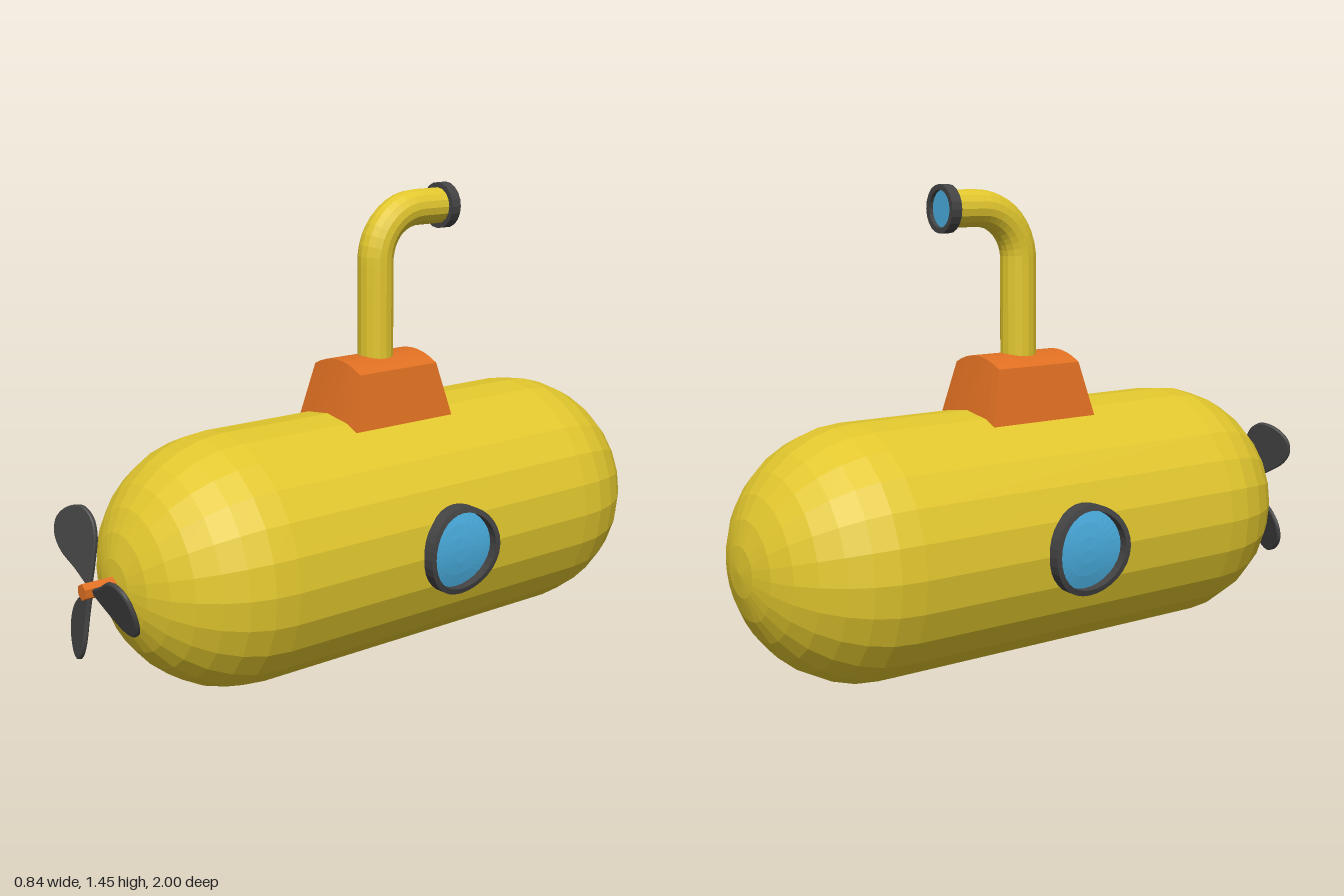
import * as THREE from 'three';

const R = 0.383;      // hull radius, also the height of its axis
const MID = -0.0475;  // hull centre along z

function material(name, color) {
  const m = new THREE.MeshStandardMaterial({ color, flatShading: true });
  m.name = name;
  return m;
}

export function createModel() {
  const yellow = material('yellow paint', 0xe2c72e);
  const orange = material('orange paint', 0xe07022);
  const dark = material('dark grey metal', 0x444444);
  const blue = material('blue glass', 0x4aaee0);

  const model = new THREE.Group();
  model.name = 'submarine';
  const add = (name, geometry, mat, parent = model) => {
    const mesh = new THREE.Mesh(geometry, mat);
    mesh.name = name;
    parent.add(mesh);
    return mesh;
  };
  const lathe = (pts, sides) =>
    new THREE.LatheGeometry(pts.map(([r, y]) => new THREE.Vector2(r, y)), sides);

  // Hull: a capsule lying along z
  const hull = new THREE.CapsuleGeometry(R, 1.139, 8, 24, 1);
  hull.rotateX(Math.PI / 2);
  add('hull', hull, yellow).position.set(0, R, MID);

  // Conning tower: tapered box, arched on top, underside following the hull
  const tower = new THREE.BoxGeometry(2, 1, 2, 8, 1, 1);
  const p = tower.attributes.position;
  for (let i = 0; i < p.count; i++) {
    const u = p.getX(i), w = p.getZ(i);
    if (p.getY(i) > 0) {
      p.setXYZ(i, u * 0.115, 0.93 - 0.03 * u * u, -0.045 + w * 0.15);
    } else {
      const x = u * 0.147;
      p.setXYZ(i, x, R + Math.sqrt(R * R - x * x) - 0.008, -0.045 + w * 0.19);
    }
  }
  tower.computeVertexNormals();
  add('conningTower', tower, orange);

  // Periscope: upright pipe bending towards the rear
  const scope = new THREE.Group();
  scope.name = 'periscope';
  model.add(scope);
  const v = (y, z) => new THREE.Vector3(0, y, z);
  const path = new THREE.CurvePath();
  path.add(new THREE.LineCurve3(v(0.9, -0.043), v(1.22, -0.043)));
  path.add(new THREE.CubicBezierCurve3(
    v(1.22, -0.043), v(1.305, -0.043), v(1.374, -0.112), v(1.374, -0.197)));
  path.add(new THREE.LineCurve3(v(1.374, -0.197), v(1.374, -0.3)));
  add('periscopePipe', new THREE.TubeGeometry(path, 26, 0.056, 16), yellow, scope);

  const rim = lathe([[0.04, 0], [0.072, 0], [0.072, 0.034], [0.056, 0.034], [0.056, 0.018]], 20);
  rim.rotateX(-Math.PI / 2);
  add('periscopeRim', rim, dark, scope).position.set(0, 1.374, -0.292);
  const lens = new THREE.CircleGeometry(0.058, 20);
  lens.rotateY(Math.PI);
  add('periscopeLens', lens, blue, scope).position.set(0, 1.374, -0.313);

  // Portholes: turned rings and discs wrapped round the hull axis
  const wrapped = (pts) => {
    const g = lathe(pts, 32);
    g.rotateZ(-Math.PI / 2);
    const a = g.attributes.position;
    for (let i = 0; i < a.count; i++) {
      const r = a.getX(i), y = a.getY(i);
      a.setX(i, Math.sqrt(r * r - y * y));
    }
    g.computeVertexNormals();
    return g;
  };
  const ring = wrapped([[0.137, 0.37], [0.137, 0.418], [0.12, 0.418], [0.12, 0.37]]);
  const glass = wrapped([[0.122, 0.39], [0.08, 0.39], [0.04, 0.39], [0, 0.39]]);
  for (const side of ['left', 'right']) {
    const porthole = new THREE.Group();
    porthole.name = side + 'Porthole';
    porthole.position.set(0, R + 0.002, -0.065);
    if (side === 'right') porthole.rotation.y = Math.PI;
    add(side + 'PortholeRing', ring, dark, porthole);
    add(side + 'PortholeGlass', glass, blue, porthole);
    model.add(porthole);
  }

  // Propeller: six-sided hub and three pitched blades
  const propeller = new THREE.Group();
  propeller.name = 'propeller';
  propeller.position.set(0, R, 0.97);
  model.add(propeller);
  const hub = new THREE.CylinderGeometry(0.025, 0.025, 0.12, 6);
  hub.rotateX(Math.PI / 2);
  add('propellerHub', hub, orange, propeller).position.z = -0.03;

  const outline = new THREE.Shape();
  outline.moveTo(0.015, -0.008);
  outline.splineThru([
    [0.07, -0.045], [0.13, -0.08], [0.185, -0.088], [0.23, -0.062], [0.247, -0.005],
    [0.235, 0.05], [0.195, 0.078], [0.14, 0.072], [0.075, 0.036], [0.015, 0.008],
  ].map(([x, y]) => new THREE.Vector2(x, y)));
  const blade = new THREE.ExtrudeGeometry(outline, {
    depth: 0.008, bevelEnabled: true, bevelThickness: 0.003, bevelSize: 0.004,
    bevelOffset: -0.004, bevelSegments: 1, curveSegments: 24,
  });
  blade.translate(0, 0, -0.004);
  blade.rotateX(0.3);
  for (let i = 0; i < 3; i++) {
    add('propellerBlade' + (i + 1), blade, dark, propeller).rotation.z = (i * Math.PI * 2) / 3;
  }

  return model;
}
